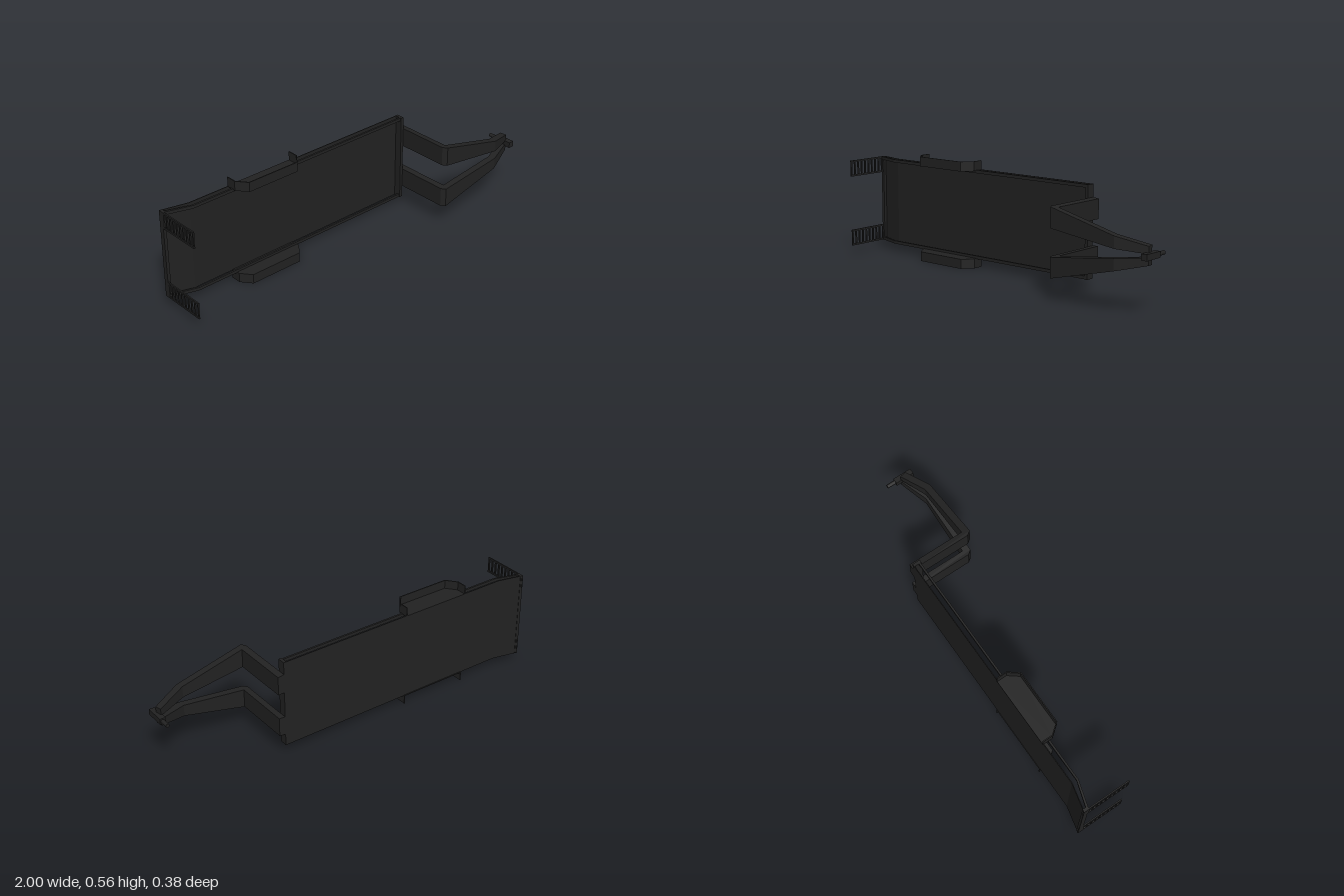
import * as THREE from 'three';

const MID = 0.278; // centre line height of the trailer, which lies on its side

export function createModel() {
  const root = new THREE.Group();
  root.name = 'trailer';
  const mat = new THREE.MeshStandardMaterial({ color: 0x222222, flatShading: true, side: THREE.DoubleSide });

  const add = (name, geo, parent = root) => {
    const m = new THREE.Mesh(geo, mat);
    m.name = name;
    parent.add(m);
    return m;
  };

  // Box given by its limits
  const box = (name, x0, x1, y0, y1, z0, z1, parent) => {
    const g = new THREE.BoxGeometry(x1 - x0, y1 - y0, z1 - z0);
    g.translate((x0 + x1) / 2, (y0 + y1) / 2, (z0 + z1) / 2);
    return add(name, g, parent);
  };

  // Profile in x and z, spanned from low(x) to high(x) in y
  const slab = (name, pts, low, high, parent) => {
    const shape = new THREE.Shape(pts.map(p => new THREE.Vector2(p[0], p[1])));
    const g = new THREE.ExtrudeGeometry(shape, { depth: 1, bevelEnabled: false });
    g.rotateX(Math.PI / 2);
    const p = g.attributes.position;
    for (let i = 0; i < p.count; i++) {
      const x = p.getX(i);
      p.setY(i, THREE.MathUtils.lerp(high(x), low(x), -p.getY(i)));
    }
    g.computeVertexNormals();
    return add(name, g, parent);
  };
  const flat = (name, pts, y0, y1, parent) => slab(name, pts, () => y0, () => y1, parent);

  // Deck plate with the sloping tail
  const y0 = 0.047, y1 = 0.51;
  flat('deck', [[-1, -0.19], [-0.86, -0.157], [0.457, -0.157], [0.457, -0.153], [-0.86, -0.153], [-1, -0.186]], y0, y1);

  // Rails floating above both deck edges, and the end rails
  const rail = [[-1, -0.175], [-0.86, -0.13], [0.457, -0.13], [0.457, -0.12], [-0.86, -0.12], [-1, -0.163]];
  flat('sideRail', rail, y0, y0 + 0.016);
  flat('sideRail', rail, y1 - 0.016, y1);
  box('frontBeam', 0.443, 0.459, y0, y1, -0.157, -0.115);
  box('tailRail', -1, -0.984, y0, y1, -0.188, -0.165);

  for (const s of [-1, 1]) {
    const side = s > 0 ? 'Upper' : 'Lower';
    const band = (name, pts, a, b, parent) =>
      flat(name, pts, MID + Math.min(s * a, s * b), MID + Math.max(s * a, s * b), parent);

    // Fender: inner plate and an arched band, open outside and below
    const fender = new THREE.Group();
    fender.name = 'fender' + side;
    root.add(fender);
    const arch = [[-0.635, -0.16], [-0.635, -0.105], [-0.592, -0.05], [-0.303, -0.05], [-0.26, -0.105], [-0.26, -0.16]];
    const inset = [[-0.265, -0.16], [-0.265, -0.107], [-0.306, -0.055], [-0.589, -0.055], [-0.63, -0.107], [-0.63, -0.16]];
    band('fenderPlate', arch, 0.228, 0.233, fender);
    band('fenderBand', [...arch, ...inset], 0.233, 0.278, fender);

    // Upright loading ramp with slats
    const ramp = new THREE.Group();
    ramp.name = 'ramp' + side;
    root.add(ramp);
    const r0 = s > 0 ? y1 - 0.086 : y0, r1 = r0 + 0.086;
    box('rampRail', -1, -0.993, r0, r0 + 0.009, -0.19, 0.067, ramp);
    box('rampRail', -1, -0.993, r1 - 0.009, r1, -0.19, 0.067, ramp);
    for (let i = 0; i <= 10; i++) {
      const z = 0.059 - i * 0.0249;
      box('rampSlat', -1, -0.993, r0, r1, z, z + 0.008, ramp);
    }

    // Gooseneck arm: post, then a beam narrowing towards the hitch
    const outer = x => 0.168 - 0.245 * Math.max(0, x - 0.475);
    const inner = x => x < 0.83
      ? 0.068 - 0.13 * Math.max(0, x - 0.475)
      : 0.022 - 0.095 * (x - 0.83);
    const neck = [[0.459, -0.157], [0.492, -0.157], [0.492, 0.15], [0.825, 0.15], [0.975, 0.095],
      [0.982, 0.13], [0.835, 0.187], [0.475, 0.187], [0.459, 0.165]];
    slab('neckArm' + side, neck,
      x => MID + (s > 0 ? inner(x) : -outer(x)),
      x => MID + (s > 0 ? outer(x) : -inner(x)));
  }

  // Hitch block and kingpin
  box('hitchBlock', 0.968, 0.998, MID - 0.015, MID + 0.015, 0.065, 0.168);
  const pin = new THREE.CylinderGeometry(0.01, 0.01, 0.06, 12);
  pin.rotateX(Math.PI / 2);
  add('hitchPin', pin).position.set(0.985, MID, 0.048);

  return root;
}
